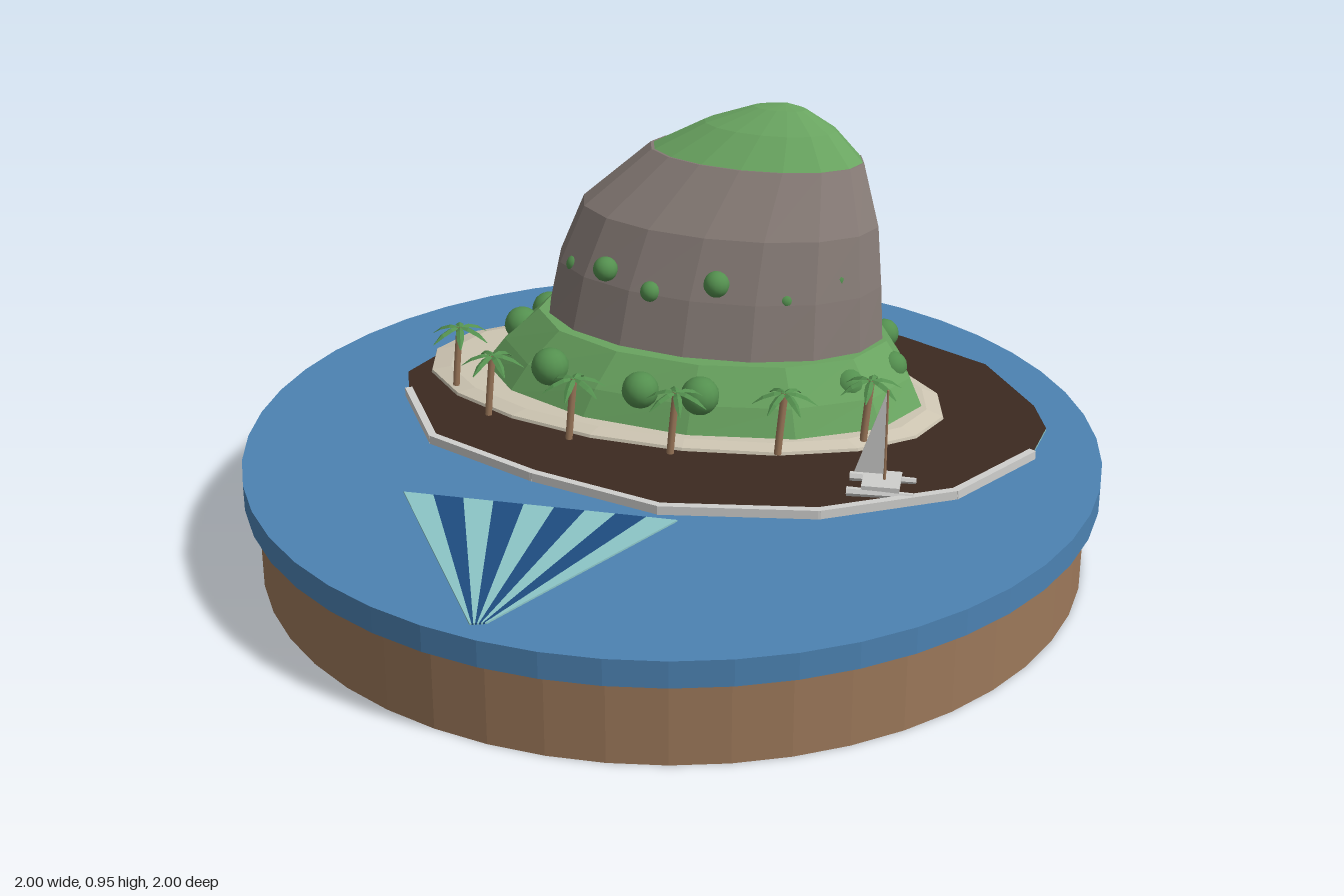
import * as THREE from 'three';

const mat = (name, color, extra = {}) => new THREE.MeshStandardMaterial({ name, color, ...extra });
const M = {
  earth: mat('earth brown', 0x9c785a),
  water: mat('water blue', 0x4c82b2),
  reef: mat('dark reef', 0x3c2a20),
  sand: mat('pale sand', 0xcdc5b2),
  grass: mat('grass green', 0x69a460),
  leaf: mat('leaf green', 0x54904f, { side: THREE.DoubleSide }),
  rock: mat('grey rock', 0x857a75),
  shallows: mat('shallow teal', 0x8cc5c6),
  deep: mat('deep blue', 0x1e4c80),
  pale: mat('pale grey', 0xcfcfcd),
};

const TILT = 0.436; // the island's long axis, turned from +x towards +z

function add(parent, name, geometry, material, x = 0, y = 0, z = 0) {
  const mesh = new THREE.Mesh(geometry, material);
  mesh.name = name;
  mesh.position.set(x, y, z);
  parent.add(mesh);
  return mesh;
}

function flat(geometry) {
  const g = geometry.index ? geometry.toNonIndexed() : geometry;
  g.computeVertexNormals();
  return g;
}

// Faceted loft through tilted ellipses [y, cx, cz, a, b]
function loft(rings, n) {
  const c = Math.cos(TILT), s = Math.sin(TILT), v = [];
  const pt = ([y, cx, cz, a, b], i) => {
    const t = ((i % n) / n) * Math.PI * 2, p = a * Math.cos(t), q = b * Math.sin(t);
    return [cx + p * c - q * s, y, cz + p * s + q * c];
  };
  for (let k = 0; k < rings.length - 1; k++) {
    for (let i = 0; i < n; i++) {
      const a = pt(rings[k], i), b = pt(rings[k], i + 1);
      const d = pt(rings[k + 1], i), e = pt(rings[k + 1], i + 1);
      v.push(...a, ...d, ...b, ...b, ...d, ...e);
    }
  }
  const top = rings[rings.length - 1];
  for (let i = 0; i < n; i++) v.push(top[1], top[0], top[2], ...pt(top, i + 1), ...pt(top, i));
  const g = new THREE.BufferGeometry();
  g.setAttribute('position', new THREE.Float32BufferAttribute(v, 3));
  g.computeVertexNormals();
  return g;
}

// Horizontal plate from [x, z] corners, with its top at the given height
function plate(points, top, depth) {
  const shape = new THREE.Shape(points.map(([x, z]) => new THREE.Vector2(x, z)));
  const g = new THREE.ExtrudeGeometry(shape, { depth, bevelEnabled: false });
  return g.rotateX(Math.PI / 2).translate(0, top, 0);
}

// Drooping, ridged palm frond pointing along +x
function frondGeometry() {
  const g = new THREE.PlaneGeometry(0.075, 0.026, 3, 2).rotateX(-Math.PI / 2).translate(0.0375, 0, 0);
  const p = g.attributes.position;
  for (let i = 0; i < p.count; i++) {
    const t = p.getX(i) / 0.075;
    const z = p.getZ(i) * (0.35 + 2.2 * t * (1 - t) - 0.25 * t);
    p.setXYZ(i, p.getX(i), 0.02 * t - 0.05 * t * t - Math.abs(z) * 0.6, z);
  }
  return flat(g);
}

function palm(x, z, turn, frond) {
  const g = new THREE.Group();
  g.name = 'palm';
  const path = new THREE.QuadraticBezierCurve3(
    new THREE.Vector3(-0.014, 0, 0), new THREE.Vector3(-0.008, 0.08, 0), new THREE.Vector3(0, 0.155, 0));
  add(g, 'palmTrunk', new THREE.TubeGeometry(path, 5, 0.009, 6), M.earth);
  for (let i = 0; i < 6; i++) {
    add(g, 'palmFrond', frond, M.leaf, 0, 0.155, 0).rotation.y = turn + (i * Math.PI) / 3;
  }
  g.position.set(x, 0.28, z);
  return g;
}

function catamaran() {
  const g = new THREE.Group();
  g.name = 'sailboat';
  for (const side of [-1, 1]) {
    const hull = new THREE.CylinderGeometry(0.011, 0.007, 0.15, 6).rotateZ(Math.PI / 2);
    add(g, 'hull', flat(hull), M.pale, 0, 0.018, side * 0.038);
  }
  add(g, 'deck', new THREE.BoxGeometry(0.085, 0.012, 0.085), M.pale, 0, 0.03, 0);
  add(g, 'mast', new THREE.CylinderGeometry(0.003, 0.004, 0.225, 6), M.earth, 0.006, 0.142, 0);
  const sail = new THREE.Shape([[0, 0.25], [-0.066, 0.05], [0, 0.05]].map(([x, y]) => new THREE.Vector2(x, y)));
  add(g, 'sail', new THREE.ExtrudeGeometry(sail, { depth: 0.005, bevelEnabled: false }), M.pale, 0.004, 0, -0.0025);
  g.position.set(0.43, 0.262, 0.343);
  g.rotation.y = -0.3;
  return g;
}

export function createModel() {
  const model = new THREE.Group();
  model.name = 'islandDiorama';

  // Round plinth and sea
  add(model, 'plinth', flat(new THREE.CylinderGeometry(0.97, 0.97, 0.2, 48)), M.earth, 0, 0.1, 0);
  add(model, 'sea', flat(new THREE.CylinderGeometry(1, 1, 0.062, 48)), M.water, 0, 0.231, 0);

  // Reef plate with a teal rim, and the wall along its front
  const shore = [[-0.61, -0.31], [-0.56, -0.04], [-0.34, 0.18], [-0.075, 0.375], [0.27, 0.44], [0.59, 0.385], [0.81, 0.215]];
  const back = [[0.885, 0.075], [0.89, -0.05], [0.835, -0.305], [0.67, -0.5], [0.51, -0.67], [0.34, -0.71],
    [0.18, -0.785], [0, -0.8], [-0.315, -0.73], [-0.46, -0.63], [-0.61, -0.44]];
  add(model, 'reef', plate([...shore, ...back], 0.268, 0.008), [M.reef, M.shallows]);
  for (let i = 0; i < shore.length - 1; i++) {
    const [x0, z0] = shore[i], [x1, z1] = shore[i + 1], dx = x1 - x0, dz = z1 - z0;
    const wall = new THREE.BoxGeometry(Math.hypot(dx, dz) + 0.008, 0.022, 0.018);
    add(model, 'seaWall', wall, M.pale, (x0 + x1) / 2, 0.272, (z0 + z1) / 2).rotation.y = -Math.atan2(dz, dx);
  }

  // Beach, grassy slope, cliff and green summit
  add(model, 'beach', loft([[0.26, 0.06, -0.283, 0.66, 0.365], [0.275, 0.06, -0.283, 0.655, 0.36],
    [0.286, 0.065, -0.283, 0.61, 0.335]], 18), M.sand);
  add(model, 'grassySlope', loft([[0.28, 0.105, -0.28, 0.56, 0.33], [0.35, 0.118, -0.29, 0.515, 0.315],
    [0.43, 0.135, -0.302, 0.44, 0.276]], 13), M.grass);
  add(model, 'cliff', loft([[0.42, 0.14, -0.31, 0.427, 0.254], [0.56, 0.153, -0.32, 0.408, 0.232],
    [0.7, 0.18, -0.335, 0.372, 0.202], [0.835, 0.25, -0.365, 0.268, 0.142]], 16), M.rock);
  add(model, 'summit', loft([[0.83, 0.25, -0.365, 0.27, 0.144], [0.9, 0.285, -0.372, 0.165, 0.085],
    [0.94, 0.31, -0.383, 0.065, 0.032], [0.948, 0.325, -0.388, 0.006, 0.006]], 16), M.grass);

  // Bushes on the slope and the cliff
  const bush = new THREE.SphereGeometry(1, 14, 10);
  const bushes = [[-0.27, 0.37, -0.2, 0.046], [-0.07, 0.37, -0.04, 0.044], [0.065, 0.37, 0.01, 0.046],
    [0.42, 0.37, -0.01, 0.042], [0.545, 0.37, -0.1, 0.038], [0.57, 0.37, -0.3, 0.036], [0.41, 0.37, -0.48, 0.038],
    [0, 0.37, -0.635, 0.042], [-0.245, 0.37, -0.56, 0.044], [-0.32, 0.37, -0.47, 0.044],
    [-0.13, 0.6, -0.24, 0.03], [-0.03, 0.565, -0.17, 0.025], [0.12, 0.6, -0.11, 0.032],
    [0.28, 0.565, -0.075, 0.022], [0.405, 0.6, -0.11, 0.032], [-0.19, 0.565, -0.37, 0.024]];
  for (const [x, y, z, r] of bushes) add(model, 'bush', bush, M.leaf, x, y, z).scale.setScalar(r);

  // Palms along the beach
  const frond = frondGeometry();
  [[-0.48, -0.32], [-0.41, -0.14], [-0.23, 0.015], [-0.005, 0.12], [0.24, 0.155], [0.45, 0.11]]
    .forEach(([x, z], i) => model.add(palm(x, z, 0.5 + i * 0.35, frond)));

  model.add(catamaran());

  // Striped fan lying on the water
  const near = [[-0.51, 0.805], [-0.475, 0.805]], far = [[-0.632, 0.21], [-0.04, 0.42]];
  const along = ([a, b], t) => [a[0] + (b[0] - a[0]) * t, a[1] + (b[1] - a[1]) * t];
  for (let i = 0; i < 9; i++) {
    const t = i / 9, u = (i + 1) / 9;
    add(model, 'fanStripe', plate([along(near, t), along(far, t), along(far, u), along(near, u)], 0.266, 0.005),
      i % 2 ? M.deep : M.shallows);
  }
  return model;
}
